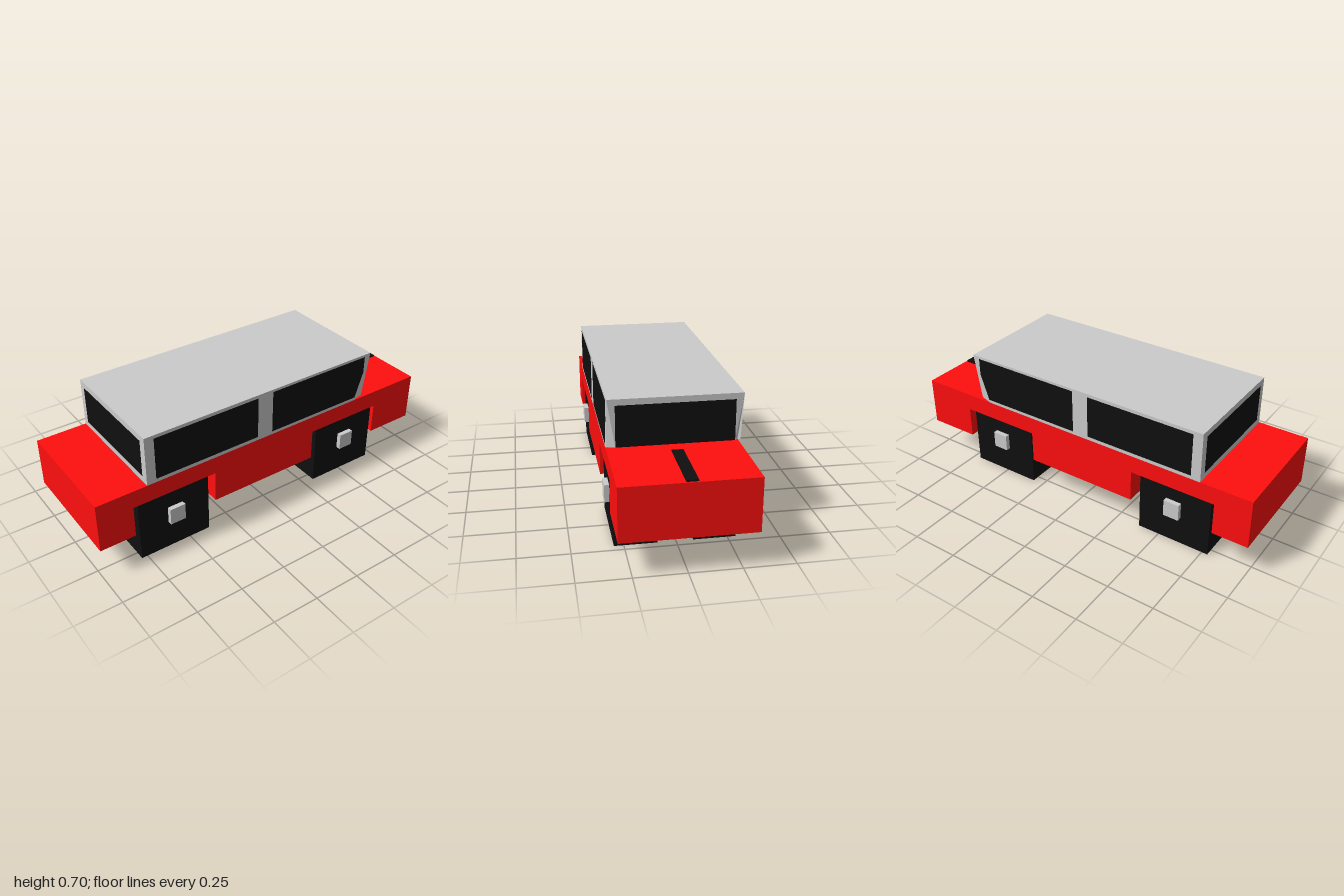
import * as THREE from 'three';

const paint = (color) => new THREE.MeshStandardMaterial({ color, flatShading: true, side: THREE.DoubleSide });

export function createModel() {
  const model = new THREE.Group();
  const red = paint(0xff0e0e), grey = paint(0xcccccc), black = paint(0x0f0f0f);

  const add = (parent, name, geometry, material) => {
    const mesh = new THREE.Mesh(geometry, material);
    mesh.name = name;
    parent.add(mesh);
    return mesh;
  };
  const box = (parent, name, material, size, pos) =>
    add(parent, name, new THREE.BoxGeometry(...size), material).position.set(...pos);

  // Flat panel: a fan of triangles around the first corner
  const panel = (parent, name, material, pts) => {
    const pos = [];
    for (let i = 1; i < pts.length - 1; i++) pos.push(...pts[0], ...pts[i], ...pts[i + 1]);
    const g = new THREE.BufferGeometry();
    g.setAttribute('position', new THREE.Float32BufferAttribute(pos, 3));
    g.computeVertexNormals();
    return add(parent, name, g, material);
  };

  const midX = -0.0065, W = 0.3185; // body centre and half width

  // Body: side profile with two square wheel openings, extruded across
  const profile = new THREE.Shape([
    [-1, 0.175], [-0.72, 0.175], [-0.72, 0.345], [-0.275, 0.345], [-0.275, 0.175],
    [0.35, 0.175], [0.35, 0.345], [0.81, 0.345], [0.81, 0.175], [1, 0.175], [1, 0.44], [-1, 0.44],
  ].map(([z, y]) => new THREE.Vector2(z, y)));
  const bodyGeo = new THREE.ExtrudeGeometry(profile, { depth: 2 * W, bevelEnabled: false });
  bodyGeo.rotateY(-Math.PI / 2).translate(midX + W, 0, 0);
  add(model, 'body', bodyGeo, red);

  // Strip on the rear deck
  box(model, 'deckStrip', black, [0.055, 0.02, 0.335], [-0.0125, 0.438, -0.825]);

  // Cabin: bottom rear edge pulled forward while the rear window stays upright
  const cabin = new THREE.Group();
  cabin.name = 'cabin';
  cabin.position.x = midX;
  model.add(cabin);
  const top = 0.705, base = 0.44, front = 0.73, back = -0.65, foot = -0.557;
  const win = 0.281, winTop = 0.675, winLow = 0.473, gap = 0.0015;
  const across = (hw, y0, y1, z0, z1) => [[-hw, y0, z0], [hw, y0, z0], [hw, y1, z1], [-hw, y1, z1]];

  panel(cabin, 'roof', grey, across(W, top, top, front, back));
  panel(cabin, 'frontFrame', grey, across(W, base, top, front, front));
  panel(cabin, 'windscreen', black, across(win, winLow, winTop, front + gap, front + gap));
  panel(cabin, 'rearWindow', black, across(win, winLow, winTop, back, back));
  panel(cabin, 'rearFrameTop', grey, [[-W, top, back], [W, top, back], [win, winTop, back], [-win, winTop, back]]);
  panel(cabin, 'rearFrameBottom', grey, [[-W, base, foot], [W, base, foot], [win, winLow, back], [-win, winLow, back]]);

  for (const s of [1, -1]) {
    const onSide = (pts, x) => pts.map(([z, y]) => [s * x, y, z]);
    // Side wall with its folded rear pillar
    panel(cabin, 'sideFrame', grey,
      onSide([[back, top], [front, top], [front, base], [foot, base], [-0.61, 0.458]], W));
    panel(cabin, 'rearPillar', grey,
      [[s * W, top, back], [s * W, base, foot], [s * win, winLow, back], [s * win, winTop, back]]);
    // Side windows
    panel(cabin, 'frontSideWindow', black,
      onSide([[0.68, 0.46], [0.68, 0.688], [0.09, 0.688], [0.09, 0.46]], W + gap));
    panel(cabin, 'rearSideWindow', black,
      onSide([[0, 0.458], [0, 0.692], [-0.61, 0.692], [-0.61, 0.6], [-0.562, 0.458]], W + gap));

    // Block wheels with square hubs
    for (const z of [0.5825, -0.5125]) {
      const wheel = new THREE.Group();
      wheel.name = 'wheel';
      wheel.position.set(0.0035 + s * 0.19, 0, z);
      model.add(wheel);
      box(wheel, 'tyre', black, [0.207, 0.39, 0.397], [0, 0.195, 0]);
      box(wheel, 'hub', grey, [0.05, 0.09, 0.085], [s * 0.1035, 0.2, -0.005]);
    }
  }
  return model;
}
